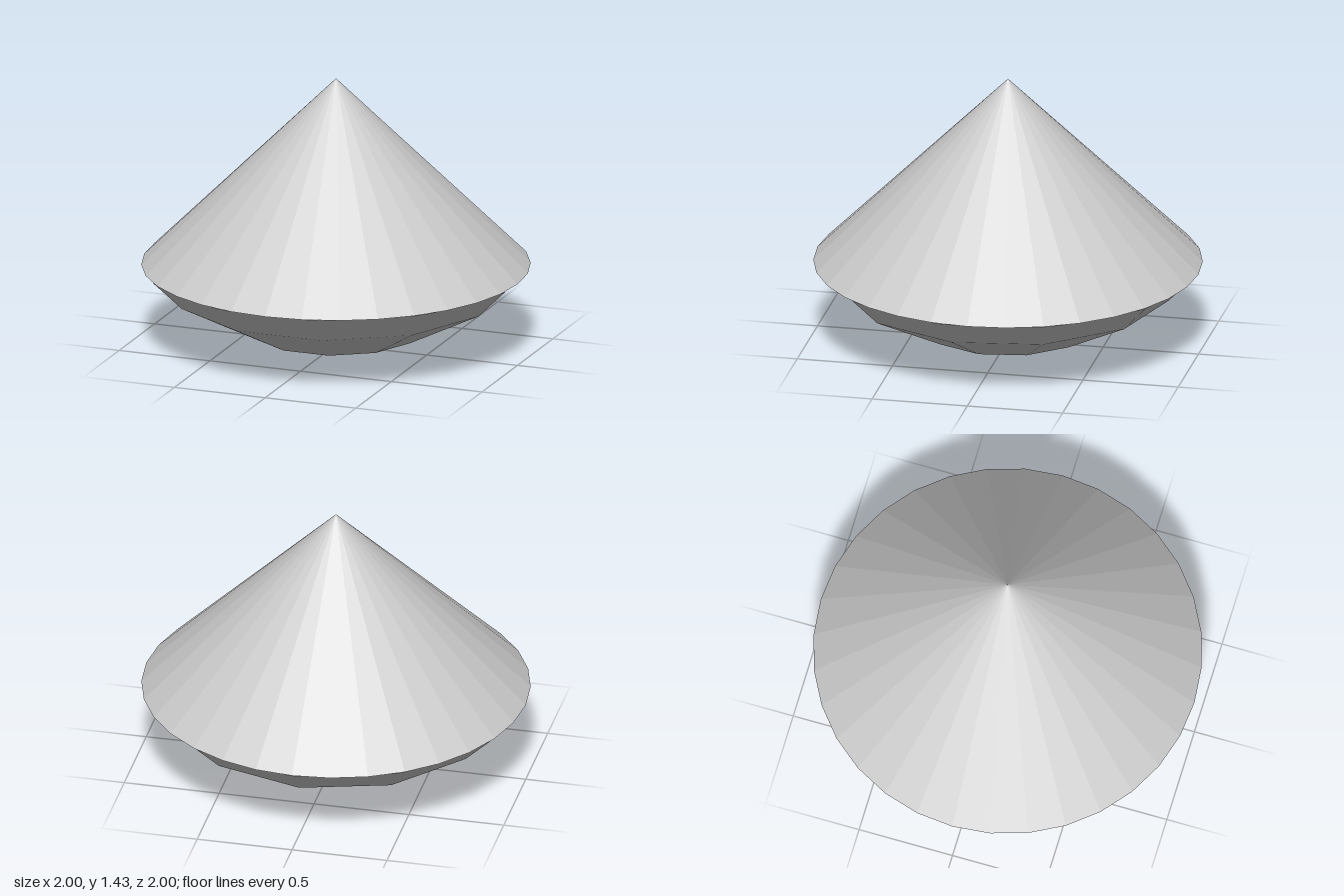
import * as THREE from 'three';

export function createModel() {
  const group = new THREE.Group();
  const material = new THREE.MeshStandardMaterial({ color: 0xcccccc, flatShading: true });
  const rimY = 0.435, topY = 1.43;

  // Tall faceted cone with a closed base
  const cone = new THREE.Mesh(new THREE.ConeGeometry(1, topY - rimY, 32), material);
  cone.name = 'coneTop';
  cone.position.y = (topY + rimY) / 2;
  group.add(cone);

  // Shallow eleven-sided bowl under the cone, one corner pointing to the back
  const profile = [[0, 0], [0.44, 0.075], [0.84, 0.278], [1, rimY]]
    .map(([r, y]) => new THREE.Vector2(r, y));
  const bowl = new THREE.Mesh(new THREE.LatheGeometry(profile, 11, Math.PI), material);
  bowl.name = 'facetedBowl';
  group.add(bowl);

  return group;
}
